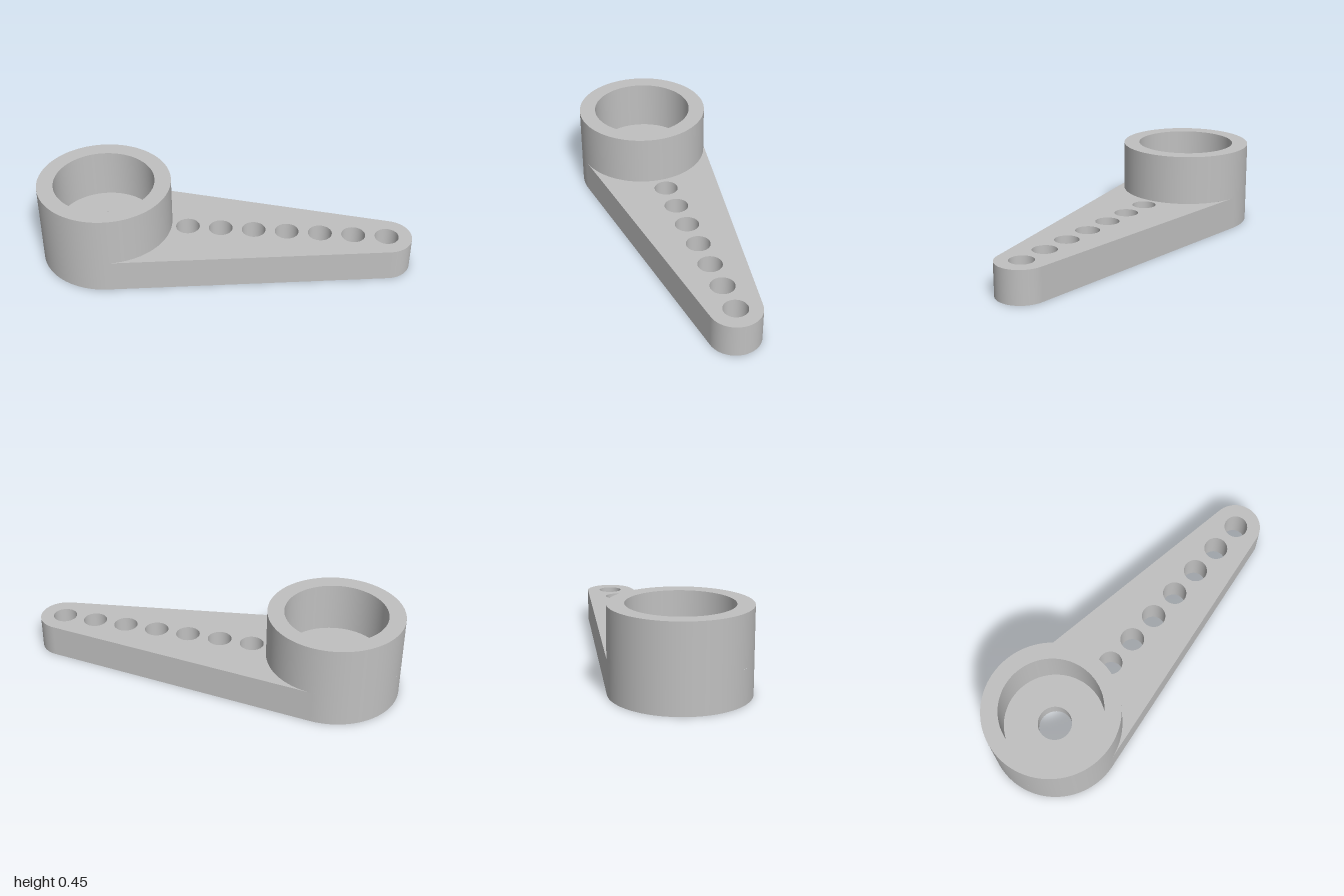
import * as THREE from 'three';

const HUB = { x: -0.645, r: 0.355, bore: 0.268, shaft: 0.09, counterbore: 0.223 };
const TIP = { x: 0.865, r: 0.135 };
const PLATE = 0.178, TOP = 0.446, FLOOR = 0.09;
const HOLE_R = 0.064;
const HOLES = Array.from({ length: 7 }, (_, i) => -0.203 + i * 0.178);
const SEG = 96;

// Angle at which the straight sides touch both end circles
const TANGENT = Math.acos((HUB.r - TIP.r) / (TIP.x - HUB.x));

// Points on an end circle, each with its outward angle
function arc(c, from, to, n) {
  return Array.from({ length: n + 1 }, (_, i) => {
    const t = from + (to - from) * i / n;
    return { x: c.x + c.r * Math.cos(t), y: c.r * Math.sin(t), t };
  });
}

// Flat horizontal face with round holes
function face(points, holes, y, up) {
  const shape = new THREE.Shape(points.map(p => new THREE.Vector2(p.x, p.y)));
  for (const [x, r] of holes) {
    shape.holes.push(new THREE.Path().absarc(x, 0, r, 0, Math.PI * 2, true));
  }
  const g = new THREE.ShapeGeometry(shape, 24);
  g.rotateX(up ? -Math.PI / 2 : Math.PI / 2);
  return g.translate(0, y, 0);
}

// Vertical wall around a closed outline
function wall(points, height) {
  const pos = [], nor = [], idx = [];
  const loop = [...points, points[0]];
  loop.forEach((p, i) => {
    for (const y of [0, height]) {
      pos.push(p.x, y, -p.y);
      nor.push(Math.cos(p.t), 0, -Math.sin(p.t));
    }
    if (i < loop.length - 1) {
      const a = i * 2;
      idx.push(a, a + 2, a + 1, a + 2, a + 3, a + 1);
    }
  });
  const g = new THREE.BufferGeometry();
  g.setAttribute('position', new THREE.Float32BufferAttribute(pos, 3));
  g.setAttribute('normal', new THREE.Float32BufferAttribute(nor, 3));
  g.setIndex(idx);
  return g;
}

// One revolved surface between two (radius, height) points
function ring(x, a, b, seg) {
  const g = new THREE.LatheGeometry([new THREE.Vector2(...a), new THREE.Vector2(...b)], seg);
  return g.translate(x, 0, 0);
}

export function createModel() {
  const model = new THREE.Group();
  model.name = 'leverArm';
  const grey = new THREE.MeshStandardMaterial({ color: 0xc0c0c0 });
  grey.name = 'grey';
  const add = (parent, name, geometry) => {
    const mesh = new THREE.Mesh(geometry, grey);
    mesh.name = name;
    parent.add(mesh);
  };

  // Tapered arm plate
  const arm = new THREE.Group();
  arm.name = 'arm';
  model.add(arm);
  const tipArc = arc(TIP, -TANGENT, TANGENT, 40);
  const outline = [...tipArc, ...arc(HUB, TANGENT, Math.PI * 2 - TANGENT, 60)];
  const topOutline = [...tipArc, ...arc(HUB, TANGENT, -TANGENT, 48)];
  const small = HOLES.map(x => [x, HOLE_R]);
  add(arm, 'armSide', wall(outline, PLATE));
  add(arm, 'armTop', face(topOutline, small, PLATE, true));
  add(arm, 'armUnderside', face(outline, [...small, [HUB.x, HUB.counterbore]], 0, false));

  // Row of through holes
  for (const x of HOLES) add(arm, 'linkHole', ring(x, [HOLE_R, PLATE], [HOLE_R, 0], 48));

  // Hollow hub: raised collar, bore, shaft hole and lower recess
  const hub = new THREE.Group();
  hub.name = 'hub';
  model.add(hub);
  const profile = [
    [HUB.r, PLATE], [HUB.r, TOP], [HUB.bore, TOP], [HUB.bore, PLATE],
    [HUB.shaft, PLATE], [HUB.shaft, FLOOR], [HUB.counterbore, FLOOR], [HUB.counterbore, 0],
  ];
  const names = ['collarWall', 'collarRim', 'boreWall', 'boreFloor', 'shaftHole', 'recessCeiling', 'recessWall'];
  names.forEach((name, i) => add(hub, name, ring(HUB.x, profile[i], profile[i + 1], SEG)));

  return model;
}
